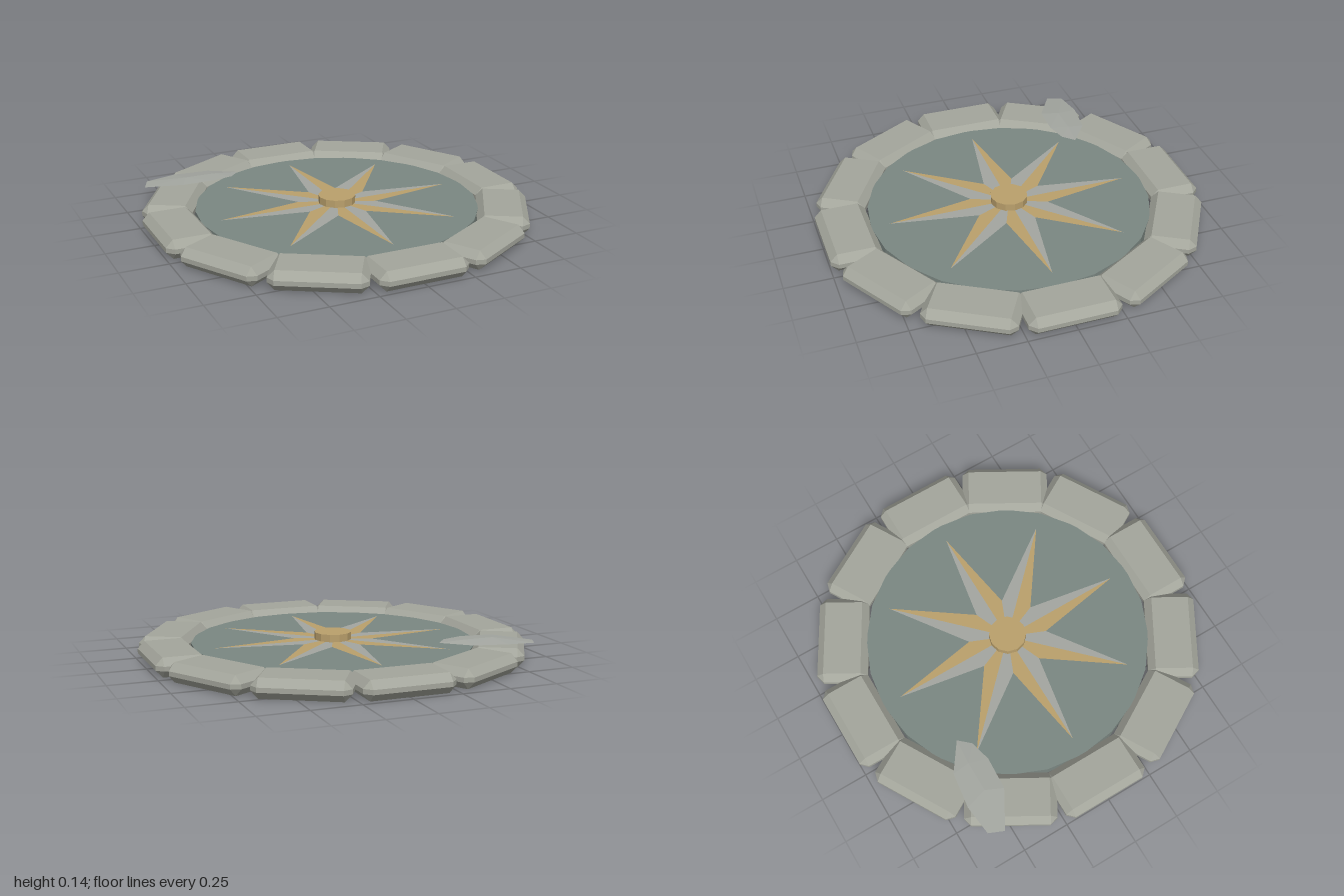
import * as THREE from 'three';
import { ConvexGeometry } from 'three/addons/geometries/ConvexGeometry.js';

const material = (name, color, extra = {}) => {
  const m = new THREE.MeshStandardMaterial({ color, flatShading: true, ...extra });
  m.name = name;
  return m;
};

// Box with every edge and corner chamfered
function chamferedBox(w, h, d, b, bv) {
  const points = [];
  for (const sx of [-1, 1]) for (const sy of [-1, 1]) for (const sz of [-1, 1]) {
    const x = w / 2, y = h / 2, z = d / 2;
    points.push(
      new THREE.Vector3(sx * x, sy * (y - bv), sz * (z - b)),
      new THREE.Vector3(sx * (x - b), sy * y, sz * (z - b)),
      new THREE.Vector3(sx * (x - b), sy * (y - bv), sz * z));
  }
  return new ConvexGeometry(points);
}

// Half rays of the star; side 1 is the clockwise half seen from above
function starHalves(side) {
  const pos = [], tip = 0.65, valley = 0.205;
  for (let i = 0; i < 8; i++) {
    const a = i * Math.PI / 4, v = a + side * Math.PI / 8;
    const p = [Math.cos(a) * tip, 0, Math.sin(a) * tip];
    const q = [Math.cos(v) * valley, 0, Math.sin(v) * valley];
    pos.push(0, 0, 0, ...(side > 0 ? [...q, ...p] : [...p, ...q]));
  }
  const g = new THREE.BufferGeometry();
  g.setAttribute('position', new THREE.Float32BufferAttribute(pos, 3));
  g.computeVertexNormals();
  return g;
}

export function createModel() {
  const model = new THREE.Group();
  model.name = 'compassPlaza';
  const stone = material('stone grey', 0xa4a69c);
  const slate = material('slate green', 0x7b8782);
  const inlay = material('inlay grey', 0xa3a6a0, { side: THREE.DoubleSide });
  const gold = material('sand gold', 0xbaa06c, { side: THREE.DoubleSide });

  const add = (name, geometry, mat, y = 0) => {
    const mesh = new THREE.Mesh(geometry, mat);
    mesh.name = name;
    mesh.position.y = y;
    model.add(mesh);
    return mesh;
  };

  // Floor disc
  add('floorDisc', new THREE.CylinderGeometry(0.745, 0.745, 0.068, 24), slate, 0.036);

  // Ring of twelve kerb stones
  const block = chamferedBox(0.47, 0.1, 0.266, 0.036, 0.038);
  for (let i = 0; i < 12; i++) {
    const a = i * Math.PI / 6;
    const kerb = add('kerbStone', block, stone, 0.05);
    kerb.position.x = Math.sin(a) * 0.867;
    kerb.position.z = Math.cos(a) * 0.867;
    kerb.rotation.y = a;
  }

  // Two-tone eight-pointed star
  add('starGold', starHalves(1), gold, 0.076);
  add('starGrey', starHalves(-1), inlay, 0.076);

  // Centre hub
  add('hub', new THREE.CylinderGeometry(0.098, 0.098, 0.043, 12), gold, 0.0935);

  // Loose flat shard lying on the kerb: rim, then crown and belly points
  const shard = [
    [-0.884, 0.11, -0.545], [-0.85, 0.113, -0.625], [-0.69, 0.122, -0.645],
    [-0.505, 0.126, -0.62], [-0.365, 0.13, -0.52], [-0.42, 0.132, -0.46],
    [-0.53, 0.134, -0.432], [-0.7, 0.131, -0.44],
    [-0.66, 0.138, -0.53], [-0.5, 0.138, -0.53],
    [-0.75, 0.104, -0.55], [-0.55, 0.108, -0.54],
  ].map(p => new THREE.Vector3(...p));
  add('shard', new ConvexGeometry(shard), inlay);

  return model;
}
